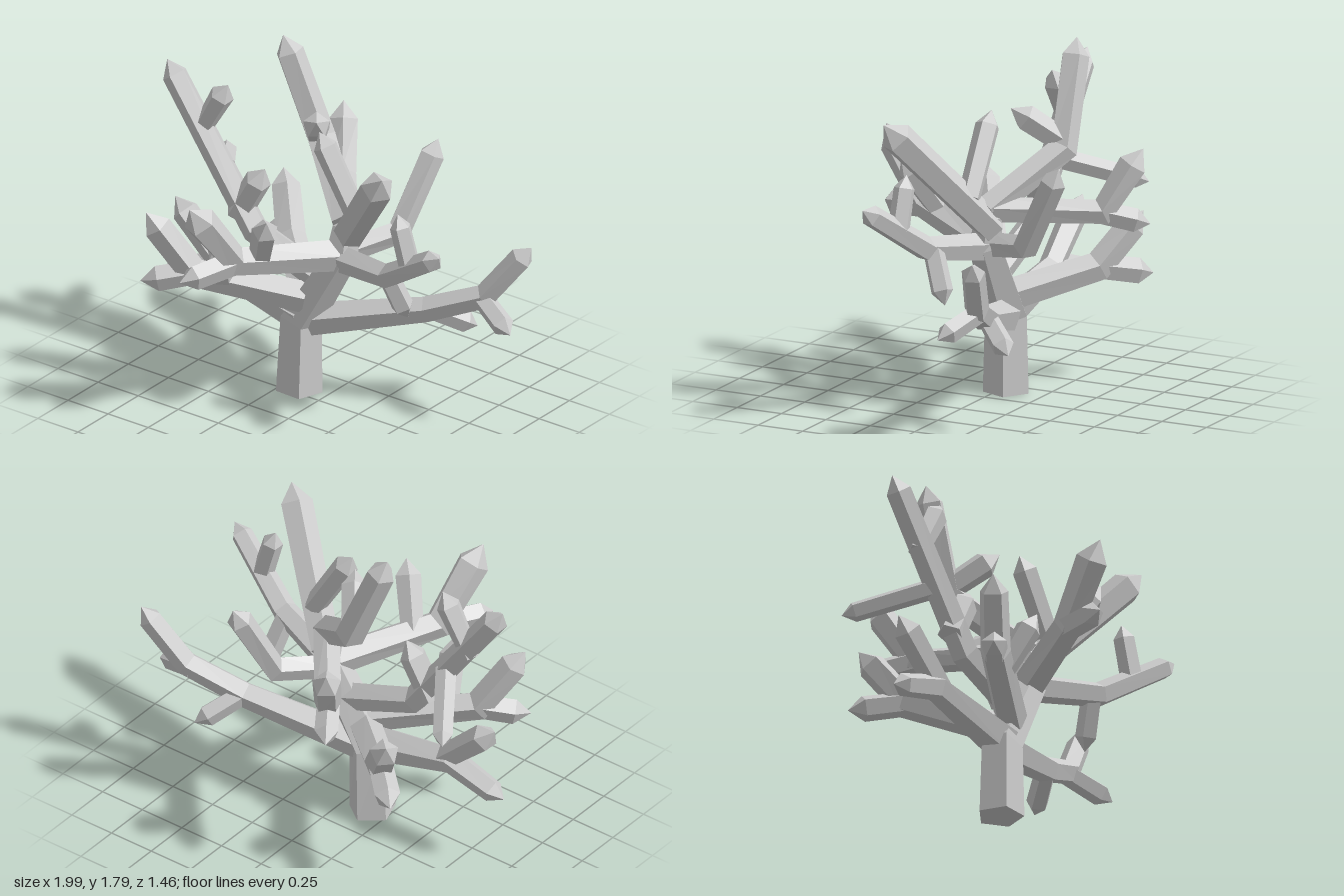
import * as THREE from 'three';

const SIDES = 5;
const material = new THREE.MeshStandardMaterial({ color: 0xcccccc, flatShading: true, side: THREE.DoubleSide });

// Five-sided limb swept along [x, y, z, radius] stations; ends in a faceted point.
function limbGeometry(stations, ref) {
  const pts = stations.map(([x, y, z]) => new THREE.Vector3(x, y, z));
  const radii = stations.map((s) => s[3]);
  const last = pts.length - 1;
  const tip = pts[last].clone();
  const endDir = tip.clone().sub(pts[last - 1]).normalize();
  pts[last].addScaledVector(endDir, -1.25 * radii[last]);

  const normal = ref.clone();
  const rings = pts.map((p, i) => {
    const tangent = new THREE.Vector3();
    if (i > 0) tangent.add(p.clone().sub(pts[i - 1]).normalize());
    if (i < last) tangent.add(pts[i + 1].clone().sub(p).normalize());
    tangent.normalize();
    normal.addScaledVector(tangent, -normal.dot(tangent)).normalize();
    const side = new THREE.Vector3().crossVectors(tangent, normal);
    return Array.from({ length: SIDES }, (_, k) => {
      const a = (k / SIDES) * Math.PI * 2;
      return p.clone()
        .addScaledVector(normal, Math.cos(a) * radii[i])
        .addScaledVector(side, Math.sin(a) * radii[i]);
    });
  });

  const out = [];
  const tri = (...vs) => vs.forEach((v) => out.push(v.x, v.y, v.z));
  for (let k = 0; k < SIDES; k++) {
    const n = (k + 1) % SIDES;
    tri(pts[0], rings[0][n], rings[0][k]);
    for (let i = 0; i < last; i++) {
      const a = rings[i], b = rings[i + 1];
      tri(a[k], a[n], b[n]);
      tri(a[k], b[n], b[k]);
    }
    tri(rings[last][k], rings[last][n], tip);
  }
  const g = new THREE.BufferGeometry();
  g.setAttribute('position', new THREE.Float32BufferAttribute(out, 3));
  g.computeVertexNormals();
  return g;
}

export function createModel() {
  const model = new THREE.Group();
  model.name = 'branchingTree';
  const up = new THREE.Vector3(0, 1, 0.01);
  const back = new THREE.Vector3(0, 0, -1);

  function add(parent, name, stations, ref = up) {
    const mesh = new THREE.Mesh(limbGeometry(stations, ref), material);
    mesh.name = name;
    parent.add(mesh);
  }
  // A bough is a main limb plus its side twigs
  function bough(name, limb, twigs = []) {
    const group = new THREE.Group();
    group.name = name;
    add(group, name + 'Limb', limb);
    twigs.forEach((t, i) => add(group, name + 'Twig' + (i + 1), t));
    model.add(group);
  }

  // Trunk leaning into the central stem
  add(model, 'trunk', [[-0.155, 0, -0.045, 0.122], [-0.145, 0.4, -0.05, 0.112],
    [0.1, 0.82, -0.06, 0.088], [0.11, 1.06, -0.1, 0.07]], back);

  // Low boughs leaving the trunk
  bough('lowLeft',
    [[-0.14, 0.39, -0.05, 0.09], [0.48, 0.55, -0.26, 0.068], [0.77, 0.67, -0.36, 0.065], [0.99, 0.97, -0.45, 0.062]],
    [[[0.74, 0.66, -0.36, 0.055], [1.0, 0.56, -0.26, 0.058]],
      [[0.48, 0.56, -0.26, 0.055], [0.64, 0.42, -0.47, 0.058]]]);
  bough('lowRight',
    [[-0.13, 0.42, -0.05, 0.1], [-0.66, 0.53, -0.05, 0.07], [-0.99, 0.43, -0.05, 0.06]],
    [[[-0.62, 0.53, -0.05, 0.065], [-0.94, 0.83, -0.06, 0.072]]]);
  bough('frontRight',
    [[-0.1, 0.54, -0.02, 0.085], [-0.58, 0.65, 0.27, 0.08], [-0.77, 0.98, 0.41, 0.075]],
    [[[-0.57, 0.65, 0.26, 0.065], [-0.79, 0.6, 0.43, 0.068]],
      [[-0.44, 0.62, 0.2, 0.06], [-0.36, 0.92, 0.36, 0.068]]]);
  bough('backRight',
    [[-0.12, 0.5, -0.06, 0.085], [-0.47, 0.61, -0.39, 0.08], [-0.64, 0.88, -0.56, 0.075]],
    [[[-0.46, 0.61, -0.38, 0.065], [-0.69, 0.55, -0.59, 0.068]]]);

  // Tall right bough
  bough('tallRight',
    [[0, 0.64, -0.06, 0.075], [-0.43, 0.8, -0.05, 0.072], [-0.99, 1.58, -0.06, 0.067]],
    [[[-0.79, 1.23, -0.06, 0.05], [-0.61, 1.55, -0.06, 0.064]],
      [[-0.64, 1.09, -0.07, 0.055], [-0.91, 0.95, -0.45, 0.052]],
      [[-0.54, 0.86, -0.05, 0.07], [-0.38, 1.15, -0.06, 0.07]]]);

  // Boughs leaving the central stem
  bough('midLeft',
    [[0.08, 0.8, -0.06, 0.075], [0.49, 0.87, 0.07, 0.065], [0.91, 1.15, 0.21, 0.057]],
    [[[0.67, 1.0, 0.13, 0.058], [0.59, 1.27, 0.13, 0.055]],
      [[0.46, 0.87, 0.05, 0.055], [0.52, 0.6, -0.05, 0.058]]]);
  bough('midFront',
    [[0.08, 0.82, -0.04, 0.085], [-0.2, 0.89, 0.43, 0.078], [-0.28, 1.26, 0.7, 0.086]],
    [[[-0.19, 0.89, 0.41, 0.068], [-0.32, 0.85, 0.73, 0.065]],
      [[-0.13, 0.88, 0.31, 0.06], [0.02, 1.18, 0.46, 0.068]]]);
  bough('midBack',
    [[0.07, 0.81, -0.09, 0.065], [0.23, 0.87, -0.35, 0.068], [0.31, 1.32, -0.58, 0.066]]);
  bough('highBack',
    [[0.1, 1.0, -0.09, 0.068], [-0.25, 0.96, -0.53, 0.072], [-0.37, 1.28, -0.7, 0.076]],
    [[[-0.24, 0.96, -0.51, 0.06], [-0.39, 0.89, -0.73, 0.063]]]);
  bough('highLeft',
    [[0.1, 0.9, -0.1, 0.08], [0.59, 1.51, 0.26, 0.086]],
    [[[0.22, 1.08, -0.03, 0.06], [-0.02, 1.48, -0.03, 0.064]]]);
  bough('crown',
    [[0.11, 1.0, -0.07, 0.075], [-0.23, 1.27, -0.32, 0.078], [-0.44, 1.79, -0.29, 0.074]],
    [[[-0.25, 1.29, -0.32, 0.065], [-0.09, 1.48, -0.1, 0.07]]]);

  return model;
}
